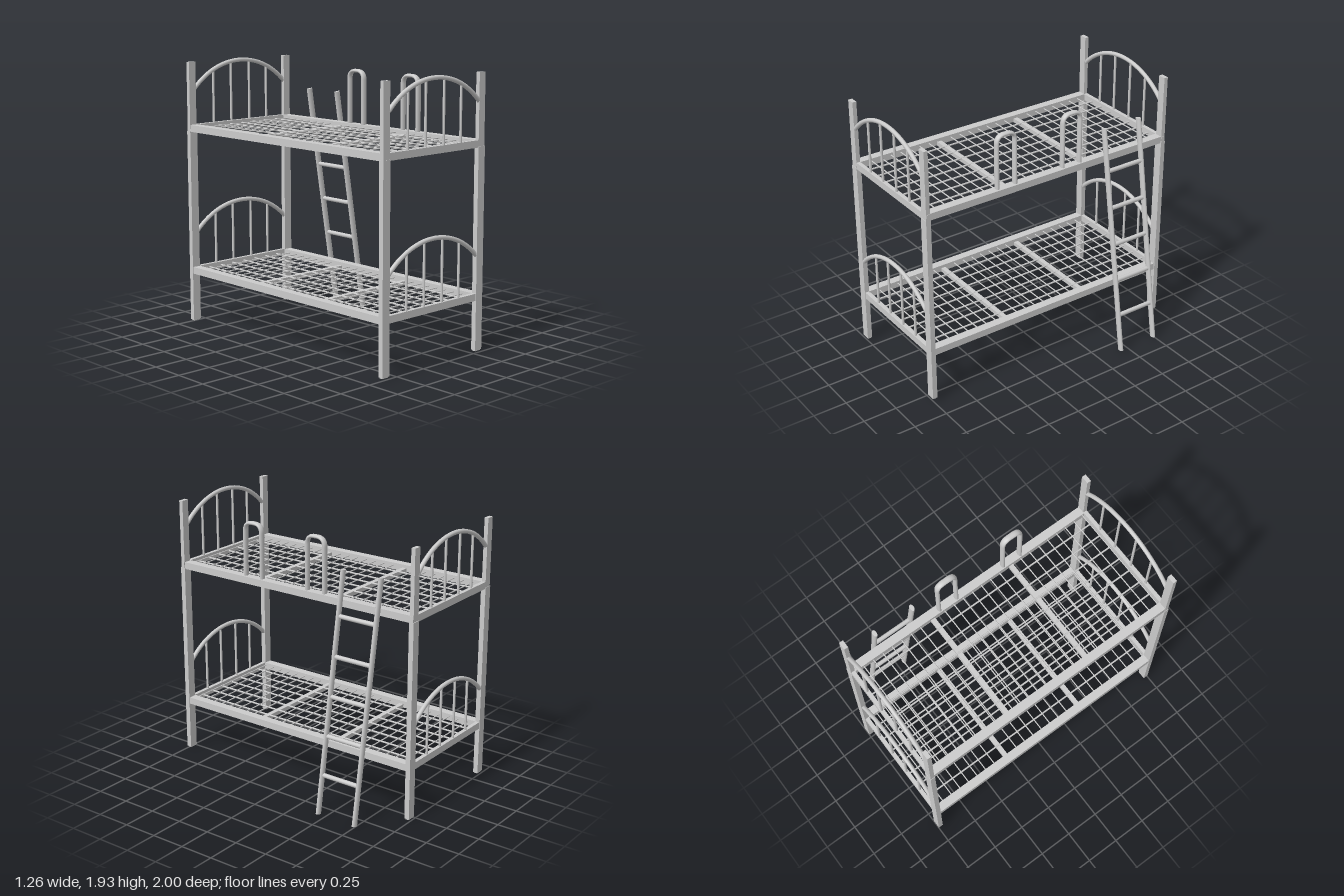
import * as THREE from 'three';

const CX = -0.15;                        // centre of the bed frame across its width
const POST_X = [-0.602, 0.299];
const DECKS = [0.395, 1.447];            // height of the two bed frames

export function createModel() {
  const root = new THREE.Group();
  root.name = 'bunkBed';
  const mat = new THREE.MeshStandardMaterial({ color: 0xcccccc });

  const add = (parent, name, geo, x = 0, y = 0, z = 0) => {
    const m = new THREE.Mesh(geo, mat);
    m.name = name;
    m.position.set(x, y, z);
    parent.add(m);
    return m;
  };
  const box = (parent, name, w, h, d, x, y, z) =>
    add(parent, name, new THREE.BoxGeometry(w, h, d), x, y, z);
  const rod = (parent, name, r, a, b, sides = 12) => {
    const dir = b.clone().sub(a);
    const mid = a.clone().add(b).multiplyScalar(0.5);
    const m = add(parent, name, new THREE.CylinderGeometry(r, r, dir.length(), sides), mid.x, mid.y, mid.z);
    m.quaternion.setFromUnitVectors(new THREE.Vector3(0, 1, 0), dir.normalize());
    return m;
  };
  const V = (x, y, z) => new THREE.Vector3(x, y, z);

  // Corner posts: wider lower legs, slimmer upper extensions
  for (const x of POST_X) {
    for (const s of [-1, 1]) {
      box(root, 'lowerPost', 0.064, 1.41, 0.036, x, 0.725, s * 0.982);
      box(root, 'upperPost', 0.058, 0.5, 0.03, x, 1.675, s * 0.982);
      box(root, 'postFoot', 0.052, 0.01, 0.026, x, 0.018, s * 0.982);
    }
  }

  // Arched end panel with upright bars
  const R = 0.59;
  const half = Math.asin(0.43 / R);
  class Arch extends THREE.Curve {
    getPoint(t, target = new THREE.Vector3()) {
      const a = (t * 2 - 1) * half;
      return target.set(R * Math.sin(a), R * Math.cos(a), 0);
    }
  }
  const archGeo = new THREE.TubeGeometry(new Arch(), 40, 0.0155, 10);
  const addEnd = (deck, y, z) => {
    const end = new THREE.Group();
    end.name = 'endPanel';
    deck.add(end);
    const cy = y - 0.122;
    add(end, 'arch', archGeo, CX + 0.005, cy, z);
    for (const x of [-0.4, -0.235, -0.062, 0.103]) {
      const top = cy + Math.sqrt(R * R - (x - CX) ** 2);
      rod(end, 'upright', 0.009, V(x, y, z), V(x, top, z));
    }
  };

  // Two sleeping decks: rails, cross bars and wire mesh
  DECKS.forEach((y, level) => {
    const deck = new THREE.Group();
    deck.name = level ? 'upperBunk' : 'lowerBunk';
    root.add(deck);
    for (const x of POST_X) {
      box(deck, 'sideRail', 0.062, 0.05, 1.936, x + (x > 0 ? -0.006 : 0.003), y, 0);
    }
    for (const s of [-1, 1]) {
      box(deck, 'endRail', level ? 0.962 : 0.86, 0.05, 0.028, CX, y, s * 0.982);
      addEnd(deck, y, s * 0.983);
      box(deck, 'crossBar', 0.84, 0.03, 0.035, CX, y - 0.013, s * 0.331);
    }
    for (let i = -3; i <= 3; i++) {
      rod(deck, 'longWire', 0.0065, V(-0.147 + i * 0.109, y, -0.975), V(-0.147 + i * 0.109, y, 0.975), 8);
    }
    const zs = [0.955];
    for (const c of [-0.667, 0, 0.647]) for (let i = -3; i <= 3; i++) zs.push(c + i * 0.0775);
    for (const z of zs) rod(deck, 'crossWire', 0.0045, V(-0.58, y + 0.006, z), V(0.28, y + 0.006, z), 8);
  });

  // Guard hoops on the upper side rail: oval tube bent with rounded corners
  const w = 0.072, top = 0.405, r = 0.06;
  const path = new THREE.CurvePath();
  path.add(new THREE.LineCurve3(V(0, 0, w), V(0, top - r, w)));
  path.add(new THREE.QuadraticBezierCurve3(V(0, top - r, w), V(0, top, w), V(0, top, w - r)));
  path.add(new THREE.LineCurve3(V(0, top, w - r), V(0, top, r - w)));
  path.add(new THREE.QuadraticBezierCurve3(V(0, top, r - w), V(0, top, -w), V(0, top - r, -w)));
  path.add(new THREE.LineCurve3(V(0, top - r, -w), V(0, 0, -w)));
  const hoopGeo = new THREE.TubeGeometry(path, 90, 0.0135, 12).scale(1.7, 1, 1);
  for (const z of [0.35, -0.188]) add(root, 'guardHoop', hoopGeo, 0.29, 1.452, z);

  // Leaning ladder: oval stringers and round rungs
  const ladder = new THREE.Group();
  ladder.name = 'ladder';
  root.add(ladder);
  const ladderX = (y) => 0.604 - (y / 1.685) * 0.274;
  const zA = -0.441, zB = -0.743;
  for (const z of [zA, zB]) {
    const m = rod(ladder, 'stringer', 0.0145, V(ladderX(0.006), 0.006, z), V(ladderX(1.685), 1.685, z), 16);
    m.scale.x = 1.7;
  }
  for (let i = 0; i < 5; i++) {
    const y = 0.283 + i * 0.273;
    rod(ladder, 'rung', 0.016, V(ladderX(y), y, zA), V(ladderX(y), y, zB));
  }

  return root;
}
